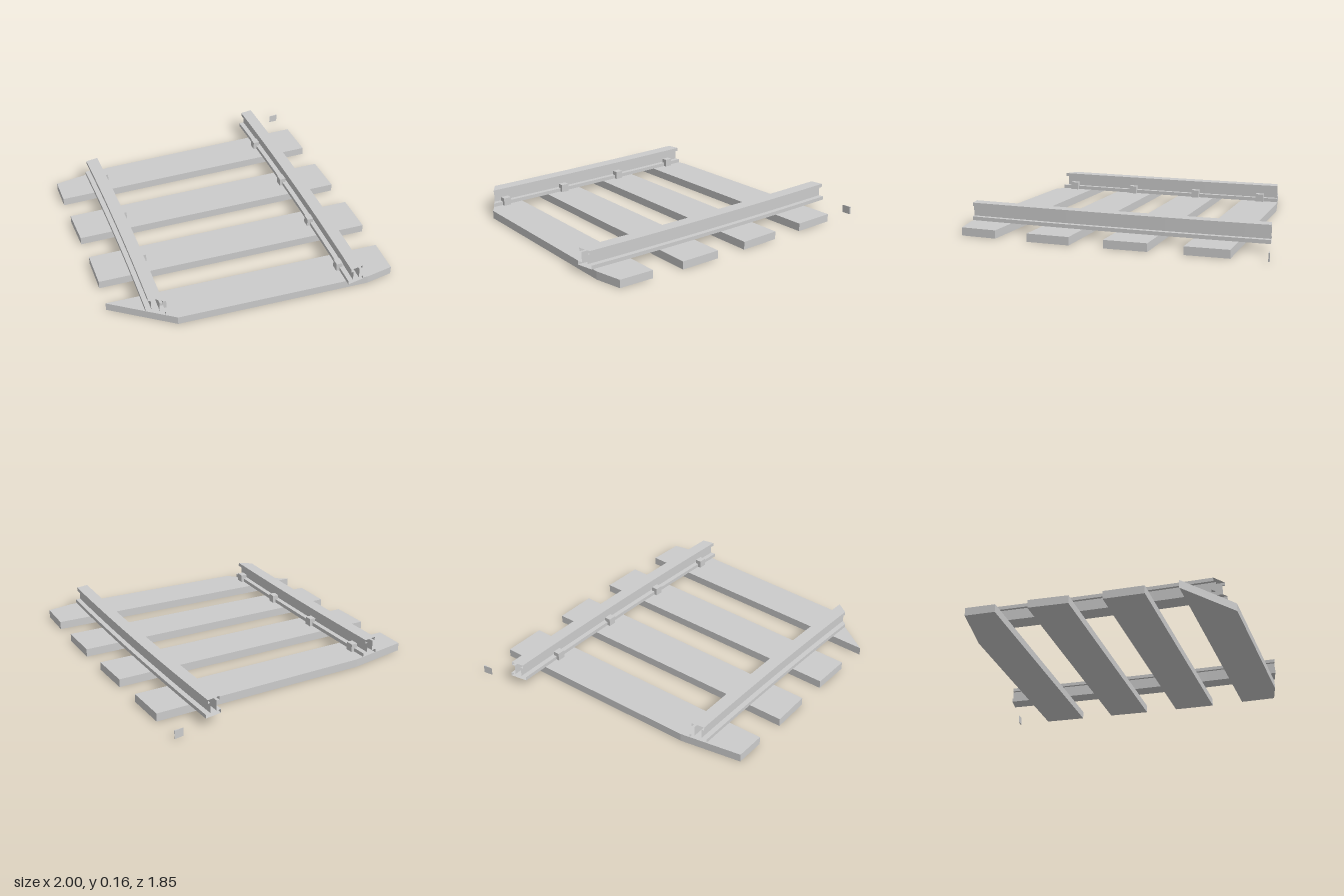
import * as THREE from 'three';

const material = new THREE.MeshStandardMaterial({ color: 0xcccccc, flatShading: true });
const railMaterial = new THREE.MeshStandardMaterial({ color: 0xcccccc, flatShading: true, side: THREE.DoubleSide });
const BACK = -0.925, FRONT = 0.92;
const SLEEPER_TOP = 0.05;

// Curved centre lines: x = a - b z - c z^2
const leftRail = { a: -0.667, b: 0.198, c: 0.0185 };
const rightRail = { a: 0.574, b: 0.19, c: 0.0185 };
const lineX = (r, z) => r.a - r.b * z - r.c * z * z;
const lineSlope = (r, z) => -r.b - 2 * r.c * z;

// Flat plank from its outline seen from above, as [x, z] corners
function plank(name, corners, height) {
  const shape = new THREE.Shape(corners.map(([x, z]) => new THREE.Vector2(x, -z)));
  const geometry = new THREE.ExtrudeGeometry(shape, { depth: height, bevelEnabled: false });
  geometry.rotateX(-Math.PI / 2);
  const mesh = new THREE.Mesh(geometry, material);
  mesh.name = name;
  return mesh;
}

// I-shaped rail section, counter-clockwise: foot, web, head
const half = [[0.054, 0.05], [0.054, 0.073], [0.022, 0.073], [0.022, 0.135], [0.04, 0.135], [0.04, 0.157]];
const section = [...half, ...half.map(([x, y]) => [-x, y]).reverse()];

// Sweep the section along the curve; endZ gives where each edge is cut off
function rail(name, line, endZ) {
  const steps = 12, positions = [], index = [];
  const n = section.length;
  // corners are doubled per face by toNonIndexed below
  for (let j = 0; j <= steps; j++) {
    for (const [offset, y] of section) {
      const z = THREE.MathUtils.lerp(BACK, endZ(line, offset), j / steps);
      positions.push(lineX(line, z) + offset, y, z);
    }
  }
  for (let j = 0; j < steps; j++) {
    for (let i = 0; i < n; i++) {
      const a = j * n + i, b = j * n + (i + 1) % n;
      index.push(a, b, b + n, a, b + n, a + n);
    }
  }
  const indexed = new THREE.BufferGeometry();
  indexed.setAttribute('position', new THREE.Float32BufferAttribute(positions, 3));
  indexed.setIndex(index);
  const geometry = indexed.toNonIndexed();
  geometry.computeVertexNormals();
  const mesh = new THREE.Mesh(geometry, railMaterial);
  mesh.name = name;
  return mesh;
}

// Diagonal cut across the front corner: z = 0.338 + 1.035 (x + 1)
function diagonalEnd(line, offset) {
  let z = 0.55;
  for (let k = 0; k < 20; k++) z = 0.338 + 1.035 * (lineX(line, z) + offset + 1);
  return z;
}

export function createModel() {
  const group = new THREE.Group();
  group.name = 'curvedTrack';

  // Sleepers fan out slightly with the curve; outer ones are trimmed
  const sleepers = [
    [[-0.767, BACK], [-0.80, -0.74], [0.917, -0.447], [0.96, -0.71], [-0.388, BACK]],
    [[-0.835, -0.543], [-0.873, -0.30], [0.837, 0.024], [0.88, -0.238]],
    [[-0.906, -0.10], [-0.953, 0.143], [0.75, 0.495], [0.80, 0.233]],
    [[-1, 0.338], [-0.69, 0.66], [0.475, FRONT], [0.65, FRONT], [0.70, 0.70]],
  ];
  sleepers.forEach((corners, i) => group.add(plank(`sleeper${i + 1}`, corners, SLEEPER_TOP)));

  // Trimmed tip of the next sleeper
  group.add(plank('sleeperTip', [[0.94, BACK], [0.997, -0.917], [1, BACK]], SLEEPER_TOP));

  // Rails
  group.add(rail('rightRail', leftRail, diagonalEnd));
  group.add(rail('leftRail', rightRail, () => FRONT));

  // Clips on the inner foot edges, one per sleeper and rail
  const clipGeometry = new THREE.BoxGeometry(0.04, 0.05, 0.05);
  const addClips = (line, side, zs) => zs.forEach((z) => {
    const clip = new THREE.Mesh(clipGeometry, material);
    clip.name = 'railClip';
    clip.position.set(lineX(line, z) + side * 0.054, SLEEPER_TOP + 0.025, z);
    clip.rotation.y = Math.atan(lineSlope(line, z));
    group.add(clip);
  });
  addClips(leftRail, 1, [-0.81, -0.365, 0.083, 0.52]);
  addClips(rightRail, -1, [-0.634, -0.163, 0.30, 0.76]);

  return group;
}
